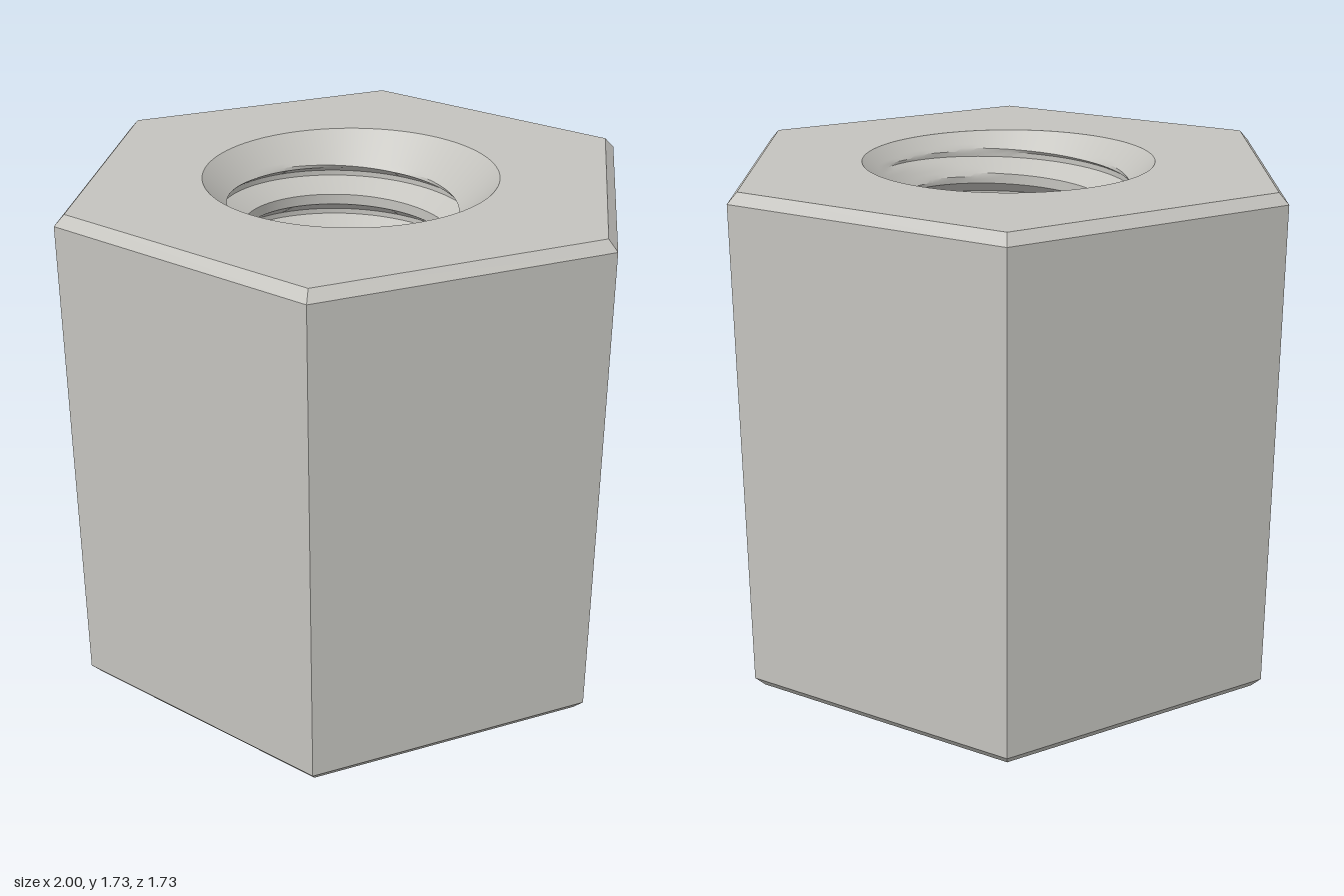
import * as THREE from 'three';
import { toCreasedNormals } from 'three/addons/utils/BufferGeometryUtils.js';

const H = 1.73, R = 1, BEVEL = 0.035;          // hexagonal body
const RIM = 0.49, MINOR = 0.358, MAJOR = 0.435; // bore
const PITCH = 0.144, SEG = 96;

// Bore radius at a height: the thread, widened by a 45 degree countersink at each end
function boreRadius(u, y) {
  const a = Math.abs(u - Math.round(u));
  const t = THREE.MathUtils.clamp((a - 0.0625) / 0.3125, 0, 1);
  const thread = MAJOR + (MINOR - MAJOR) * t;
  return Math.max(thread, RIM - y, RIM - (H - y));
}

// Rows follow the helix so that crests and roots stay crisp
function boreGeometry() {
  const steps = [-0.0625, 0, 0.0625, 0.14, 0.22, 0.3, 0.375, 0.46, 0.54, 0.625, 0.7, 0.78, 0.86];
  const rootY = H - 0.055;
  const rows = [];
  for (let n = -14; n <= 2; n++) for (const s of steps) rows.push(n + s);

  const point = (i, u) => {
    const turn = i / SEG, angle = turn * Math.PI * 2;
    const y = THREE.MathUtils.clamp(rootY + (u + turn) * PITCH, 0, H);
    const r = boreRadius((y - rootY) / PITCH - turn, y);
    return new THREE.Vector3(r * Math.cos(angle), y, -r * Math.sin(angle));
  };

  const positions = [];
  const tri = new THREE.Triangle();
  const addFace = (a, b, c) => {
    tri.set(a, b, c);
    if (tri.getArea() > 1e-9) for (const p of [a, b, c]) positions.push(p.x, p.y, p.z);
  };
  for (let k = 0; k < rows.length - 1; k++) {
    for (let i = 0; i < SEG; i++) {
      const a = point(i, rows[k]), b = point(i + 1, rows[k]);
      const c = point(i, rows[k + 1]), d = point(i + 1, rows[k + 1]);
      addFace(a, c, b);
      addFace(b, c, d);
    }
  }
  const geometry = new THREE.BufferGeometry();
  geometry.setAttribute('position', new THREE.Float32BufferAttribute(positions, 3));
  return toCreasedNormals(geometry, 0.5);
}

const ring = (radius, sides) => Array.from({ length: sides }, (_, i) => {
  const a = (i / sides) * Math.PI * 2;
  return new THREE.Vector2(radius * Math.cos(a), radius * Math.sin(a));
});

export function createModel() {
  const steel = new THREE.MeshStandardMaterial({ color: 0xc4c3be });
  steel.name = 'steel grey';
  const group = new THREE.Group();
  group.name = 'hexNut';
  const add = (name, geometry) => {
    const mesh = new THREE.Mesh(geometry, steel);
    mesh.name = name;
    group.add(mesh);
    return mesh;
  };

  // Six flat sides with bevelled top and bottom edges
  const profile = [[R - BEVEL, 0], [R, BEVEL], [R, H - BEVEL], [R - BEVEL, H]]
    .map(([x, y]) => new THREE.Vector2(x, y));
  const sides = new THREE.LatheGeometry(profile, 6, Math.PI / 2).toNonIndexed();
  sides.computeVertexNormals();
  add('hexSides', sides);

  // End faces with the round opening
  const face = new THREE.Shape(ring(R - BEVEL, 6));
  face.holes.push(new THREE.Path(ring(RIM, SEG)));
  add('topFace', new THREE.ShapeGeometry(face).rotateX(-Math.PI / 2)).position.y = H;
  add('bottomFace', new THREE.ShapeGeometry(face).rotateX(Math.PI / 2));

  // Countersunk threaded hole
  add('threadedBore', boreGeometry());
  return group;
}
